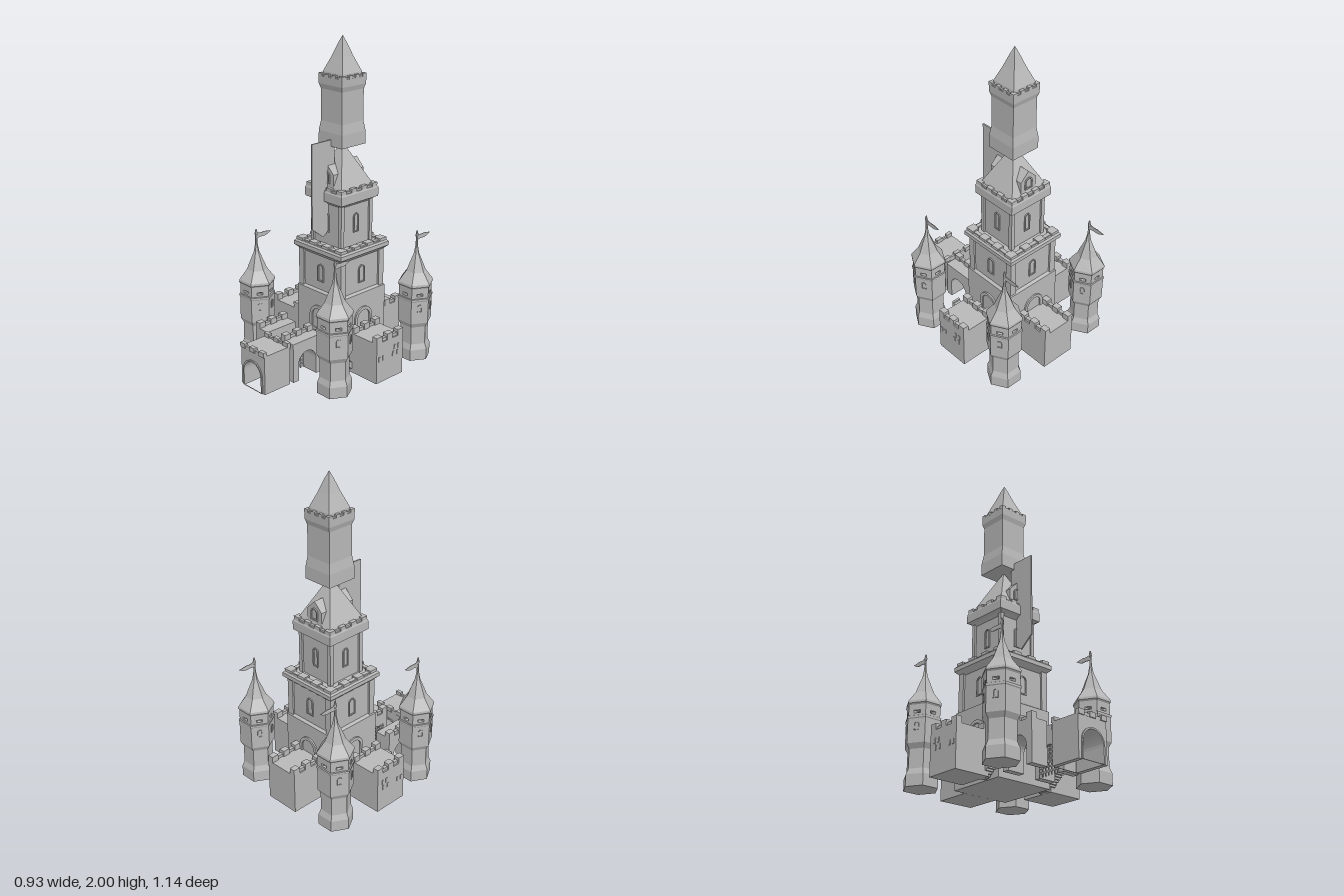
import * as THREE from 'three';

const stone = new THREE.MeshStandardMaterial({ color: 0xb8b8b8 });
stone.name = 'stone grey';

// Mesh with faceted normals
function add(parent, name, geometry, x = 0, y = 0, z = 0, ry = 0) {
  const g = geometry.index ? geometry.toNonIndexed() : geometry;
  g.computeVertexNormals();
  const m = new THREE.Mesh(g, stone);
  m.name = name;
  m.position.set(x, y, z);
  m.rotation.y = ry;
  parent.add(m);
  return m;
}

function group(parent, name, x = 0, y = 0, z = 0, ry = 0) {
  const g = new THREE.Group();
  g.name = name;
  g.position.set(x, y, z);
  g.rotation.y = ry;
  parent.add(g);
  return g;
}

// Box given by its bottom height
function box(parent, name, w, h, d, x, y, z) {
  return add(parent, name, new THREE.BoxGeometry(w, h, d), x, y + h / 2, z);
}

// Prism turned from [half width, height] pairs
function turned(profile, sides) {
  const k = sides === 4 ? Math.SQRT2 : 1;
  const pts = profile.map(([r, y]) => new THREE.Vector2(r * k, y));
  return new THREE.LatheGeometry(pts, sides, sides === 4 ? Math.PI / 4 : Math.PI / 6);
}

function archPath(P, half, y0, top) {
  const p = new P();
  p.moveTo(-half, y0);
  p.lineTo(half, y0);
  p.lineTo(half, top - half);
  p.absarc(0, top - half, half, 0, Math.PI, false);
  p.lineTo(-half, y0);
  return p;
}

function extrude(shape, depth) {
  return new THREE.ExtrudeGeometry(shape, { depth, bevelEnabled: false, curveSegments: 8 });
}

// Arched surround standing on a wall, facing +z
function archFrame(half, y0, top, rim, depth) {
  const s = archPath(THREE.Shape, half, y0, top);
  s.holes.push(archPath(THREE.Path, half - rim, y0 + rim, top - rim));
  return extrude(s, depth);
}

// Wall with a row of merlons along z
function parapet(parent, x, z, length, y, h, thick, count) {
  box(parent, 'parapetWall', thick * 0.55, h * 0.6, length, x, y, z);
  const step = length / (2 * count - 1);
  for (let i = 0; i < count; i++) {
    box(parent, 'merlon', thick, h, step, x, y, z - length / 2 + step * (2 * i + 0.5));
  }
}

// Gate block with a tunnel along z
function gateBlock(parent, name, width, depth, height, half, top, x, z, ry) {
  const g = group(parent, name, x, 0, z, ry);
  const s = new THREE.Shape();
  s.moveTo(-width / 2, 0);
  s.lineTo(-half, 0);
  s.lineTo(-half, top - half);
  s.absarc(0, top - half, half, Math.PI, 0, true);
  s.lineTo(half, 0);
  s.lineTo(width / 2, 0);
  s.lineTo(width / 2, height);
  s.lineTo(-width / 2, height);
  add(g, 'gateArch', extrude(s, depth), 0, 0, -depth / 2);
  return g;
}

function cornerTower(parent, x, z) {
  const t = group(parent, 'cornerTower', x, 0, z);
  add(t, 'towerShaft', turned([[0, 0], [0.105, 0], [0.105, 0.07], [0.09, 0.105], [0.09, 0.22],
    [0.108, 0.25], [0.108, 0.395], [0.112, 0.4], [0.112, 0.412], [0.105, 0.415], [0.105, 0.428], [0, 0.428]], 6));
  // open lookout gallery
  add(t, 'galleryLintel', turned([[0, 0.445], [0.105, 0.445], [0.105, 0.485], [0, 0.485]], 6));
  for (let i = 0; i < 6; i++) {
    const a = i * Math.PI / 3;
    add(t, 'galleryPost', new THREE.CylinderGeometry(0.033, 0.033, 0.02, 6),
      0.072 * Math.cos(a), 0.437, 0.072 * Math.sin(a), Math.PI / 6);
  }
  add(t, 'towerRoof', turned([[0, 0.48], [0.105, 0.48], [0.112, 0.49], [0.11, 0.505], [0.062, 0.57],
    [0.038, 0.63], [0.017, 0.68], [0.008, 0.73], [0.006, 0.775], [0.006, 0.78], [0.01, 0.795], [0.004, 0.825], [0, 0.825]], 6));
  // windows on the four oblique sides
  for (const a of [60, 120, 240, 300]) {
    const w = group(t, 'towerWindow', 0, 0, 0, a * Math.PI / 180);
    add(w, 'windowFrame', archFrame(0.015, 0.325, 0.375, 0.005, 0.006), 0, 0, 0.0925);
  }
  // waving pennant trailing backwards
  const f = new THREE.Shape();
  f.moveTo(0, 0.765);
  f.lineTo(0, 0.802);
  f.quadraticCurveTo(-0.04, 0.79, -0.06, 0.797);
  f.lineTo(-0.115, 0.788);
  f.quadraticCurveTo(-0.07, 0.76, -0.045, 0.77);
  f.lineTo(0, 0.765);
  add(t, 'pennant', extrude(f, 0.004), 0.002, 0, 0, -Math.PI / 2);
}

// Square crenellated ring on top of a keep tier
function crown(parent, half, y, h, thick) {
  for (let i = 0; i < 4; i++) {
    parapet(group(parent, 'crownSide', 0, 0, 0, i * Math.PI / 2), half - thick / 2, 0, half * 2, y, h, thick, 4);
  }
}

function keepWindows(keep, half, y0, top, wall) {
  for (let i = 0; i < 4; i++) {
    const g = group(keep, 'keepWindow', 0, 0, 0, i * Math.PI / 2);
    add(g, 'windowFrame', archFrame(half, y0, top, 0.007, 0.008), 0, 0, wall);
  }
}

function buildKeep(parent) {
  const k = group(parent, 'keep', 0, 0, -0.155);
  add(k, 'lowerTier', turned([[0, 0], [0.19, 0], [0.19, 0.46], [0.172, 0.47], [0.172, 0.69], [0.188, 0.705],
    [0.204, 0.72], [0.204, 0.745], [0.194, 0.755], [0, 0.755]], 4));
  crown(k, 0.194, 0.75, 0.022, 0.045);
  add(k, 'middleTier', turned([[0.12, 0.74], [0.12, 1.01], [0.135, 1.025], [0.155, 1.035], [0.155, 1.09],
    [0.15, 1.1], [0, 1.1]], 4));
  crown(k, 0.15, 1.095, 0.027, 0.03);
  for (const x of [-1, 1]) for (const z of [-1, 1]) {
    box(k, 'lowerPilaster', 0.042, 0.46, 0.042, x * 0.162, 0.24, z * 0.162);
    box(k, 'middlePilaster', 0.025, 0.27, 0.025, x * 0.119, 0.75, z * 0.119);
  }
  keepWindows(k, 0.026, 0.525, 0.638, 0.171);
  keepWindows(k, 0.021, 0.835, 0.955, 0.119);
  // arched doorways onto the wings
  for (let i = 0; i < 4; i++) {
    const d = group(k, 'doorway', 0, 0, 0, i * Math.PI / 2);
    add(d, 'doorwayArch', archFrame(0.072, 0.2, 0.37, 0.02, 0.012), 0, 0, 0.188);
  }
  add(k, 'middleRoof', turned([[0, 1.095], [0.132, 1.1], [0.128, 1.12], [0.004, 1.365], [0, 1.365]], 4));
  // gabled dormer running front to back
  const s = new THREE.Shape();
  [[-0.058, 1.1], [0.058, 1.1], [0.058, 1.2], [0, 1.258], [-0.058, 1.2]].forEach(([x, y], i) =>
    i ? s.lineTo(x, y) : s.moveTo(x, y));
  add(k, 'dormer', extrude(s, 0.25), 0, 0, -0.125);
  for (const ry of [0, Math.PI]) {
    const w = group(k, 'dormerWindow', 0, 0, 0, ry);
    add(w, 'windowFrame', archFrame(0.028, 1.14, 1.215, 0.008, 0.007), 0, 0, 0.125);
  }
  // raised top turret
  add(k, 'topTurret', turned([[0, 1.36], [0.098, 1.36], [0.097, 1.44], [0.088, 1.5], [0.088, 1.69],
    [0.097, 1.72], [0.098, 1.765], [0, 1.765]], 4));
  crown(k, 0.098, 1.76, 0.022, 0.018);
  add(k, 'topRoof', turned([[0, 1.765], [0.082, 1.765], [0.08, 1.79], [0.044, 1.88], [0.018, 1.955], [0, 2]], 4));
}

function wing(parent, name, x, z, ry) {
  const g = group(parent, name, x, 0, z, ry);
  box(g, 'wingBody', 0.228, 0.26, 0.225, 0, 0, 0);
  for (const s of [-1, 1]) parapet(g, s * 0.095, 0, 0.225, 0.25, 0.048, 0.038, 3);
  return g;
}

export function createModel() {
  const castle = new THREE.Group();
  castle.name = 'castle';
  buildKeep(castle);
  for (const x of [-0.344, 0.344]) for (const z of [0.233, -0.457]) cornerTower(castle, x, z);

  // wings around the keep
  wing(castle, 'backWing', 0, -0.458, 0);
  for (const s of [-1, 1]) {
    const w = wing(castle, 'sideWing', s * 0.345, -0.1125, 0);
    for (const [z, y] of [[0.09, 0.14], [0.058, 0.14], [-0.028, 0.14], [-0.065, 0.14], [-0.04, 0.18], [-0.072, 0.18]]) {
      box(w, 'slitWindow', 0.008, 0.03, 0.012, s * 0.114, y, z);
    }
    // stairs rising toward the front
    const stairs = group(castle, 'stairs', s * 0.23, 0, 0);
    for (let i = 0; i < 14; i++) {
      const y = 0.16 * (i + 1) / 14, low = Math.max(0, y - 0.04);
      box(stairs, 'step', 0.052, y - low, 0.0136, 0, low, -0.0632 + i * 0.0136);
    }
  }

  // front gatehouse
  const gate = gateBlock(castle, 'frontGatehouse', 0.21, 0.195, 0.245, 0.075, 0.175, 0, 0.465, 0);
  for (const s of [-1, 1]) {
    const p = group(gate, 'gateParapet', 0, 0, 0, s * Math.PI / 2);
    parapet(p, 0.092, 0, 0.21, 0.24, 0.03, 0.025, 3);
    const f = group(gate, 'gateSurround', 0, 0, 0, s > 0 ? 0 : Math.PI);
    const rim = archPath(THREE.Shape, 0.085, 0, 0.185);
    rim.holes.push(archPath(THREE.Path, 0.075, 0.0005, 0.175));
    add(f, 'archRim', extrude(rim, 0.007), 0, 0, 0.0975);
  }

  // inner gates with the passage running sideways
  for (const x of [-0.175, 0.055]) {
    const g = gateBlock(castle, 'innerGate', 0.225, 0.11, 0.25, 0.07, 0.175, x, 0.2325, -Math.PI / 2);
    const p = group(g, 'innerGateParapet', 0, 0, 0, -Math.PI / 2);
    parapet(p, 0.036, 0, 0.225, 0.245, 0.04, 0.038, 3);
  }

  // portcullis grille
  const grille = group(castle, 'portcullis', -0.004, 0, 0.2325);
  for (let i = 0; i < 7; i++) box(grille, 'verticalBar', 0.006, 0.17, 0.008, 0, 0, -0.07 + i * 0.0233);
  for (let i = 0; i < 6; i++) box(grille, 'crossBar', 0.005, 0.008, 0.15, 0, 0.02 + i * 0.026, 0);

  // tall banner with a pointed foot
  const b = new THREE.Shape();
  [[0.095, 1.4], [-0.085, 1.4], [-0.085, 0.88], [0.005, 0.81], [0.095, 0.88]].forEach(([z, y], i) =>
    i ? b.lineTo(z, y) : b.moveTo(z, y));
  add(castle, 'banner', extrude(b, 0.009), 0.009, 0, 0, -Math.PI / 2);
  return castle;
}
